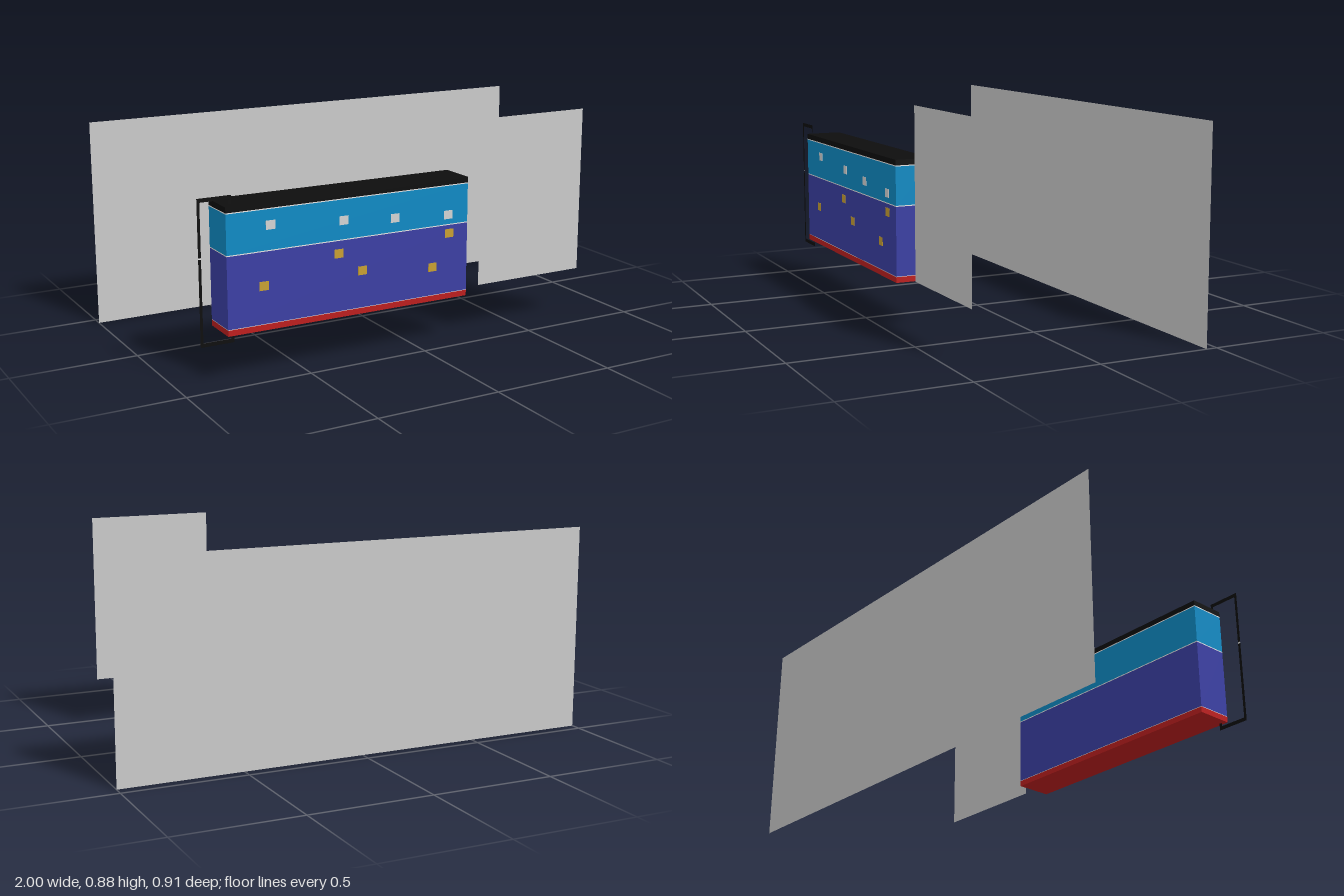
import * as THREE from 'three';

const mat = (name, color, side = THREE.FrontSide) => {
  const m = new THREE.MeshStandardMaterial({ color, side });
  m.name = name;
  return m;
};

export function createModel() {
  const model = new THREE.Group();
  const panelGrey = mat('panelGrey', 0xcacaca, THREE.DoubleSide);
  const black = mat('black', 0x0d0d0d, THREE.DoubleSide);
  const white = mat('white', 0xf4f4f4, THREE.DoubleSide);
  const blue = mat('blue', 0x0e8ac4);
  const indigo = mat('indigo', 0x3b3fa4);
  const red = mat('red', 0xbc1e1e);
  const gold = mat('gold', 0xc8a032);
  const silver = mat('silver', 0xd4d4d4);

  const add = (name, geometry, material, x, y, z, parent = model) => {
    const mesh = new THREE.Mesh(geometry, material);
    mesh.name = name;
    mesh.position.set(x, y, z);
    parent.add(mesh);
    return mesh;
  };
  // Flat upright sheet given by its edges
  const sheet = (name, x0, x1, y0, y1, z, material, parent) =>
    add(name, new THREE.PlaneGeometry(x1 - x0, y1 - y0), material, (x0 + x1) / 2, (y0 + y1) / 2, z, parent);

  // Paper-thin panels
  sheet('backPanel', -1, 1, 0, 0.845, -0.455, panelGrey);
  sheet('smallLabel', -0.275, -0.17, 0.775, 0.83, -0.4, panelGrey);
  sheet('sidePanel', 0.305, 0.805, 0.2, 0.88, 0.412, panelGrey);

  // Stacked layers, with thin white seams between them
  const stack = new THREE.Group();
  stack.name = 'layerStack';
  model.add(stack);
  const layers = [
    ['bottomLayer', 0.182, 0.205, red],
    ['lowerSeam', 0.205, 0.207, white],
    ['lowerLayer', 0.207, 0.482, indigo],
    ['middleSeam', 0.482, 0.486, white],
    ['upperLayer', 0.486, 0.639, blue],
    ['upperSeam', 0.639, 0.643, white],
    ['topLayer', 0.643, 0.665, black],
  ];
  for (const [name, y0, y1, material] of layers) {
    add(name, new THREE.BoxGeometry(1.03, y1 - y0, 0.15), material, -0.297, (y0 + y1) / 2, 0.379, stack);
  }

  // Small square particles on the front of the layers
  const chip = new THREE.BoxGeometry(0.038, 0.034, 0.002);
  const upperChips = [[-0.636, 0.58], [-0.334, 0.559], [-0.112, 0.54], [0.128, 0.524]];
  const lowerChips = [[-0.666, 0.353], [-0.356, 0.433], [-0.254, 0.353], [0.059, 0.321], [0.134, 0.449]];
  upperChips.forEach(([x, y]) => add('silverChip', chip, silver, x, y, 0.4545, stack));
  lowerChips.forEach(([x, y]) => add('goldChip', chip, gold, x, y, 0.4545, stack));

  // Flat bracket beside the stack
  const bracket = new THREE.Group();
  bracket.name = 'bracket';
  model.add(bracket);
  const z = 0.44;
  sheet('bracketUpperStem', -0.915, -0.904, 0.488, 0.69, z, black, bracket);
  sheet('bracketGap', -0.915, -0.904, 0.482, 0.488, z, white, bracket);
  sheet('bracketLowerStem', -0.915, -0.904, 0.168, 0.482, z, black, bracket);
  sheet('bracketTop', -0.915, -0.783, 0.69, 0.705, z, black, bracket);
  sheet('bracketTopTip', -0.794, -0.783, 0.672, 0.69, z, black, bracket);
  sheet('bracketBottom', -0.915, -0.783, 0.153, 0.168, z, black, bracket);
  sheet('bracketBottomTip', -0.794, -0.783, 0.168, 0.186, z, black, bracket);

  return model;
}
